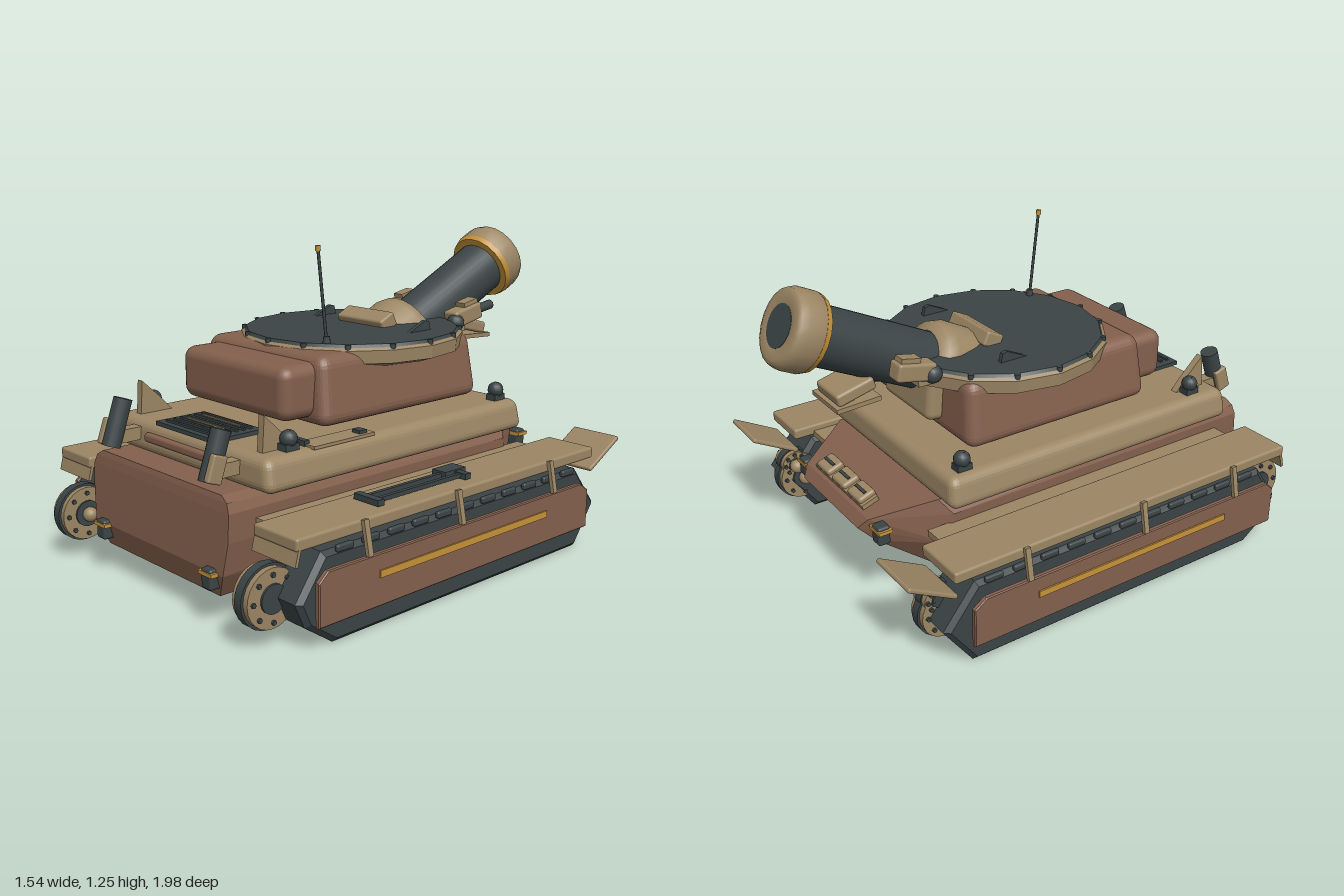
import * as THREE from 'three';
import { RoundedBoxGeometry } from 'three/addons/geometries/RoundedBoxGeometry.js';
import { ConvexGeometry } from 'three/addons/geometries/ConvexGeometry.js';

const material = (name, color) => Object.assign(new THREE.MeshStandardMaterial({ color }), { name });
const brown = material('rust brown', 0x84604d);
const tan = material('sand tan', 0x9c8664);
const dark = material('gunmetal', 0x3b4446);
const gold = material('gold', 0xc6933a);

const V = (x, y, z) => new THREE.Vector3(x, y, z);
const box = (w, h, d) => new THREE.BoxGeometry(w, h, d);
const round = (w, h, d, r) => new RoundedBoxGeometry(w, h, d, 3, r);
const cyl = (r1, r2, h, n = 24) => new THREE.CylinderGeometry(r1, r2, h, n);
const lathe = (pts, n = 32) => new THREE.LatheGeometry(pts.map(p => new THREE.Vector2(...p)), n);

function add(parent, name, geo, mat, pos = [0, 0, 0], rot = [0, 0, 0]) {
  const m = new THREE.Mesh(geo, mat);
  m.name = name;
  m.position.set(...pos);
  m.rotation.set(...rot);
  parent.add(m);
  return m;
}

// Narrows a geometry towards its top
function taper(geo, height, kx, kz) {
  const p = geo.attributes.position;
  for (let i = 0; i < p.count; i++) {
    const t = p.getY(i) / height + 0.5;
    p.setX(i, p.getX(i) * (1 - t * (1 - kx)));
    p.setZ(i, p.getZ(i) * (1 - t * (1 - kz)));
  }
  geo.computeVertexNormals();
  return geo;
}

// Straight rod between two points
function rod(parent, name, a, b, r, mat, n = 10) {
  const d = b.clone().sub(a);
  const m = add(parent, name, cyl(r, r, d.length(), n), mat, a.clone().add(b).multiplyScalar(0.5).toArray());
  m.quaternion.setFromUnitVectors(V(0, 1, 0), d.normalize());
  return m;
}

// Prism from a (z, y) outline, spread along x about its middle
function sideExtrude(pts, width, bevel = 0) {
  const s = new THREE.Shape(pts.map(([z, y]) => new THREE.Vector2(-z, y)));
  const g = new THREE.ExtrudeGeometry(s, {
    depth: width - 2 * bevel, bevelEnabled: bevel > 0, bevelSize: bevel, bevelThickness: bevel, bevelSegments: 1, bevelOffset: -bevel,
  });
  g.translate(0, 0, -(width - 2 * bevel) / 2);
  return g.rotateY(Math.PI / 2);
}

// Toothed end wheel with its axle along x
function endWheel(parent, name, s, y, z, r) {
  const w = new THREE.Group();
  w.name = name;
  w.position.set(s * 0.575, y, z);
  w.rotation.z = -s * Math.PI / 2;
  parent.add(w);
  add(w, 'wheelCore', cyl(r, r, 0.035), dark);
  for (const k of [-1, 1]) {
    add(w, 'wheelDisc', cyl(r * 0.92, r * 0.92, 0.022), tan, [0, k * 0.028, 0]);
    add(w, 'wheelHub', cyl(r * 0.45, r * 0.45, 0.03), dark, [0, k * 0.032, 0]);
    for (let i = 0; i < 8; i++) {
      const a = i * Math.PI / 4;
      add(w, 'wheelBolt', cyl(0.009, 0.009, 0.012, 6), dark, [Math.cos(a) * r * 0.72, k * 0.042, Math.sin(a) * r * 0.72]);
    }
  }
  add(w, 'axleCap', new THREE.SphereGeometry(0.03, 14, 10), tan, [0, -0.06, 0]);
}

function buildHull(g) {
  const half = [[0.35, 0.11, 0.9], [0.4, 0.2, 0.925], [0.42, 0.32, 0.915], [0.42, 0.42, 0.91], [0.405, 0.455, 0.905], [0.37, 0.475, 0.9],
    [0.42, 0.42, -0.5], [0.38, 0.475, -0.54], [0.42, 0.3, -0.52], [0.35, 0.11, -0.45],
    [0.25, 0.4, -0.76], [0.22, 0.36, -0.79], [0.25, 0.3, -0.73]];
  add(g, 'hull', new ConvexGeometry(half.flatMap(([x, y, z]) => [V(x, y, z), V(-x, y, z)])), brown);
  add(g, 'upperDeck', taper(round(0.98, 0.12, 1.34, 0.035), 0.12, 0.95, 0.985), tan, [0, 0.53, 0.125]);
  add(g, 'rearBar', round(0.46, 0.035, 0.03, 0.012), brown, [0, 0.537, 0.795]);

  // Engine grille
  add(g, 'engineGrille', box(0.36, 0.016, 0.22), dark, [0, 0.597, 0.675]);
  for (let i = 0; i < 6; i++) add(g, 'grilleSlat', box(0.3, 0.012, 0.012), dark, [0, 0.607, 0.595 + i * 0.032]);
  for (const z of [0.62, 0.69]) add(g, 'grilleHandle', box(0.22, 0.006, 0.007), tan, [0, 0.615, z]);

  // Bow lights
  add(g, 'lightRail', box(0.38, 0.02, 0.07), tan, [0, 0.425, -0.715], [-0.34, 0, 0]);
  for (const x of [-0.125, 0, 0.125]) {
    add(g, 'bowLight', round(0.1, 0.04, 0.075, 0.012), tan, [x, 0.435, -0.715], [-0.34, 0, 0]);
    add(g, 'bowLightSlot', box(0.07, 0.008, 0.012), dark, [x, 0.455, -0.72], [-0.34, 0, 0]);
  }

  for (const s of [-1, 1]) {
    for (const [x, y, z] of [[0.335, 0.18, 0.925], [0.3, 0.36, -0.735]]) {
      add(g, 'cornerLight', round(0.055, 0.075, 0.05, 0.01), dark, [s * x, y, z]);
      add(g, 'cornerLightTrim', box(0.075, 0.014, 0.056), gold, [s * x, y + 0.02, z]);
    }
    for (const z of [0.64, -0.455]) {
      add(g, 'periscopeBase', box(0.045, 0.03, 0.06), dark, [s * 0.41, 0.6, z]);
      add(g, 'periscope', new THREE.SphereGeometry(0.032, 14, 10), dark, [s * 0.41, 0.63, z]);
      rod(g, 'periscopePin', V(s * 0.415, 0.6, z), V(s * 0.415, 0.66, z), 0.007, dark);
    }
    // Exhausts and deck fins
    rod(g, 'exhaust', V(s * 0.303, 0.505, 0.905), V(s * 0.303, 0.68, 0.845), 0.036, dark, 16);
    add(g, 'exhaustBracket', round(0.03, 0.1, 0.06, 0.008), tan, [s * 0.335, 0.555, 0.895], [-0.33, 0, 0]);
    add(g, 'exhaustMount', box(0.05, 0.05, 0.12), tan, [s * 0.303, 0.54, 0.83]);
    add(g, 'deckFin', sideExtrude([[0.735, 0.585], [0.59, 0.585], [0.64, 0.64], [0.725, 0.72]], 0.03), tan, [s * 0.37, 0, 0]);
  }
  add(g, 'deckHatch', box(0.09, 0.012, 0.29), tan, [0.42, 0.592, 0.425]);
  add(g, 'hatchLatch', box(0.04, 0.02, 0.035), dark, [0.43, 0.6, 0.325]);
  add(g, 'deckRod', box(0.21, 0.02, 0.022), dark, [0.315, 0.6, 0.565]);
}

function buildRunningGear(g, s) {
  const side = new THREE.Group();
  side.name = s > 0 ? 'leftRunningGear' : 'rightRunningGear';
  g.add(side);
  const outline = [[0.87, 0.18], [0.83, 0.09], [0.71, 0.005], [-0.61, 0.005], [-0.73, 0.17], [-0.6, 0.335], [0.76, 0.335]];
  add(side, 'track', sideExtrude(outline, 0.19, 0.018), dark, [s * 0.628, 0, 0]);
  endWheel(side, 'driveWheel', s, 0.18, 0.885, 0.115);
  endWheel(side, 'idlerWheel', s, 0.175, -0.655, 0.11);
  endWheel(side, 'upperIdler', s, 0.24, -0.69, 0.06);

  // Side skirt
  const skirt = [[0.81, 0.095], [-0.63, 0.095], [-0.63, 0.25], [-0.58, 0.285], [0.77, 0.285], [0.81, 0.25]];
  add(side, 'skirt', sideExtrude(skirt, 0.022, 0.004), brown, [s * 0.745, 0, 0]);
  add(side, 'skirtStripe', box(0.008, 0.026, 0.9), gold, [s * 0.758, 0.212, 0.09]);
  for (const z of [0.59, 0.13, -0.4]) {
    add(side, 'skirtBracket', box(0.016, 0.125, 0.022), tan, [s * 0.748, 0.35, z], [0, 0, s * 0.2]);
  }
  for (let i = 0; i < 11; i++) add(side, 'trackLink', round(0.02, 0.026, 0.075, 0.008), dark, [s * 0.722, 0.335, 0.67 - i * 0.12]);

  // Fender
  add(side, 'fender', round(0.22, 0.045, 1.57, 0.01), tan, [s * 0.62, 0.388, 0.095]);
  add(side, 'fenderInnerStrip', box(0.13, 0.025, 1.4), tan, [s * 0.475, 0.372, 0.095]);
  add(side, 'fenderRearLip', box(0.22, 0.08, 0.012), tan, [s * 0.62, 0.355, 0.872], [-0.25, 0, 0]);
  add(side, 'frontMudFlap', round(0.22, 0.018, 0.215, 0.007), tan, [s * 0.62, 0.365, -0.775], [0.5, 0, 0]);
}

function buildTools(g) {
  for (const x of [0.6, 0.65]) add(g, 'toolShaft', box(0.016, 0.016, 0.46), dark, [x, 0.425, 0.24]);
  add(g, 'toolHead', box(0.065, 0.03, 0.11), dark, [0.595, 0.425, 0.025]);
  for (const z of [0.015, 0.46]) add(g, 'toolClamp', box(0.12, 0.022, 0.03), dark, [0.62, 0.424, z]);
}

function buildTurret(g) {
  add(g, 'turretPivot', cyl(0.14, 0.14, 0.05, 32), dark, [0, 0.605, 0.02]);
  add(g, 'turretBody', taper(round(0.75, 0.255, 0.84, 0.045), 0.255, 0.9, 0.95), brown, [0, 0.743, 0.025]);
  add(g, 'turretBustle', round(0.62, 0.2, 0.22, 0.045), brown, [0, 0.745, 0.465]);
  add(g, 'mantletBlock', round(0.34, 0.2, 0.12, 0.03), tan, [0, 0.76, -0.38], [0.1, 0, 0]);

  // Roof disc with bolted rim
  const n = 16;
  const rim = lathe([[0, 0.8], [0.38, 0.8], [0.44, 0.82], [0.445, 0.87], [0.43, 0.882], [0, 0.882]], n).toNonIndexed();
  rim.computeVertexNormals();
  add(g, 'roofRim', rim, tan, [0, 0, -0.04]);
  add(g, 'roofPlate', cyl(0.425, 0.435, 0.014, n).toNonIndexed(), dark, [0, 0.884, -0.04]);
  for (let i = 0; i < n; i++) {
    const a = i * 2 * Math.PI / n;
    add(g, 'roofBolt', cyl(0.011, 0.011, 0.02, 8), dark, [Math.sin(a) * 0.43, 0.882, -0.04 + Math.cos(a) * 0.43]);
  }
  for (const s of [-1, 1]) {
    add(g, 'roofFin', sideExtrude([[-0.07, 0.885], [-0.2, 0.885], [-0.19, 0.925], [-0.17, 0.93]], 0.018), dark, [s * 0.275, 0, 0]);
  }

  // Antenna
  add(g, 'antennaBase', cyl(0.012, 0.016, 0.03, 10), dark, [0.217, 0.9, 0.29]);
  rod(g, 'antenna', V(0.217, 0.89, 0.29), V(0.217, 1.235, 0.33), 0.006, dark, 8);
  rod(g, 'antennaTip', V(0.217, 1.232, 0.33), V(0.217, 1.252, 0.332), 0.01, gold, 8);

  // Sights beside the gun
  for (const s of [-1, 1]) {
    add(g, 'sightBox', round(0.075, 0.07, 0.16, 0.012), tan, [s * 0.18, 0.905, -0.51], [0.2, 0, 0]);
    add(g, 'sightCap', box(0.05, 0.03, 0.08), tan, [s * 0.18, 0.948, -0.53], [0.2, 0, 0]);
    add(g, 'sightBall', new THREE.SphereGeometry(0.036, 14, 10), dark, [s * 0.2, 0.88, -0.44]);
    add(g, 'sightArm', box(0.06, 0.04, 0.16), tan, [s * 0.17, 0.86, -0.42]);
  }
  rod(g, 'sightTube', V(0.18, 0.9, -0.48), V(0.18, 0.93, -0.68), 0.02, dark, 12);

  // Lamp carried below the barrel
  rod(g, 'lampArm', V(0, 0.8, -0.42), V(0, 0.845, -0.66), 0.022, dark, 12);
  add(g, 'lampBody', round(0.17, 0.05, 0.16, 0.012), tan, [0, 0.825, -0.69], [-0.25, 0, 0]);
  add(g, 'lampPlate', box(0.2, 0.018, 0.18), tan, [0, 0.782, -0.69], [-0.05, 0, 0]);
}

function buildGun(g) {
  const gun = new THREE.Group();
  gun.name = 'gun';
  gun.position.set(0, 0.744, -0.17);
  gun.rotation.x = -1.117;
  g.add(gun);
  const collar = lathe([[0, 0], [0.165, 0], [0.165, 0], [0.168, 0.17], [0.155, 0.21], [0.115, 0.23]], 24);
  add(gun, 'gunCollar', collar, tan);
  add(gun, 'collarBlock', round(0.26, 0.08, 0.06, 0.01), tan, [0, 0.03, 0.165]);
  add(gun, 'barrel', cyl(0.113, 0.113, 0.7, 32), dark, [0, 0.4, 0]);
  const muzzle = lathe([[0.11, 0.725], [0.14, 0.725], [0.151, 0.745], [0.151, 0.81], [0.14, 0.838], [0.12, 0.845], [0.08, 0.845], [0.08, 0.835]], 20);
  add(gun, 'muzzleRing', muzzle, tan);
  add(gun, 'muzzleBand', cyl(0.15, 0.143, 0.022, 20), gold, [0, 0.73, 0]);
  add(gun, 'bore', cyl(0.081, 0.081, 0.02, 24), dark, [0, 0.836, 0]);
}

export function createModel() {
  const g = new THREE.Group();
  g.name = 'tank';
  buildHull(g);
  for (const s of [-1, 1]) buildRunningGear(g, s);
  buildTools(g);
  buildTurret(g);
  buildGun(g);
  return g;
}
